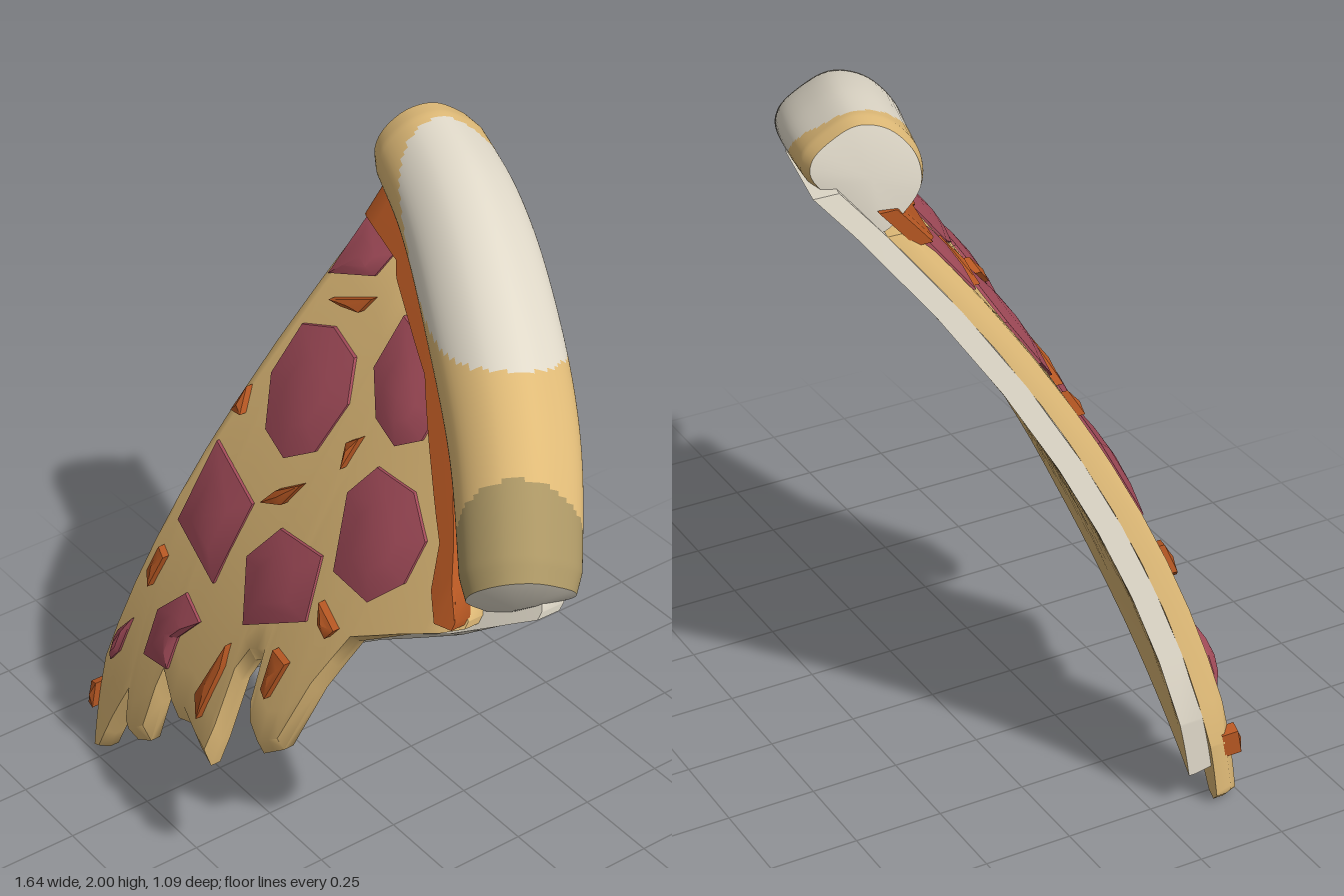
import * as THREE from 'three';
import { toCreasedNormals } from 'three/addons/utils/BufferGeometryUtils.js';

const mat = (name, color) => {
  const m = new THREE.MeshStandardMaterial({ color });
  m.name = name;
  return m;
};

// Height of the bent slice surface, and its normal
const bend = (x, y) => 0.65 - 0.115 * y - 0.225 * y * y + 0.2 * x - 0.15 * Math.max(0, x) ** 2;
const bendNormal = (x, y) =>
  new THREE.Vector3(0.3 * Math.max(0, x) - 0.2, 0.115 + 0.45 * y, 1).normalize();

// Piecewise linear lookup in [x, y] points
function along(points, x) {
  for (let i = 1; i < points.length; i++) {
    const [x0, y0] = points[i - 1], [x1, y1] = points[i];
    if (x <= x1) return y0 + (y1 - y0) * Math.max(0, (x - x0) / (x1 - x0));
  }
  return points[points.length - 1][1];
}

function buildGeometry(pos, faceSets) {
  const g = new THREE.BufferGeometry();
  g.setAttribute('position', new THREE.Float32BufferAttribute(pos, 3));
  g.setIndex(faceSets.flat());
  let start = 0;
  faceSets.forEach((f, i) => { g.addGroup(start, f.length, i); start += f.length; });
  return g;
}

// Bent slab between an upper and a lower outline; groups: front, back, rim
function slab(top, bottom, front, back, rimDrop, bottomDrop, crease) {
  const x0 = bottom[0][0], x1 = bottom[bottom.length - 1][0];
  const knots = [...top, ...bottom].map(p => p[0]).filter(x => x >= x0 && x <= x1).sort((a, b) => a - b);
  const xs = [knots[0]];
  for (const k of knots) {
    const last = xs[xs.length - 1], n = Math.ceil((k - last) / 0.06);
    for (let i = 1; i <= n; i++) xs.push(last + (k - last) * i / n);
  }
  const vs = [0, 0.04, 0.12, 0.25, 0.38, 0.5, 0.62, 0.75, 0.87, 0.95, 1];
  const pos = [], nv = vs.length, nx = xs.length, half = nx * nv;
  for (const layer of [0, 1]) {
    xs.forEach((x, i) => vs.forEach((v, j) => {
      const t = along(top, x), y = t + (along(bottom, x) - t) * v;
      const rim = i === 0 || i === nx - 1 || j === 0;
      const drop = j === nv - 1 ? bottomDrop : rim ? rimDrop : 0;
      pos.push(x, y, bend(x, y) + (layer ? back : front - drop));
    }));
  }
  const id = (i, j) => i * nv + j;
  const faces = [[], [], []], ring = [];
  for (let i = 0; i < nx - 1; i++) for (let j = 0; j < nv - 1; j++) {
    const a = id(i, j), b = id(i, j + 1), c = id(i + 1, j + 1), d = id(i + 1, j);
    faces[0].push(a, b, c, a, c, d);
    faces[1].push(a + half, c + half, b + half, a + half, d + half, c + half);
  }
  for (let j = 0; j < nv - 1; j++) ring.push(id(0, j));
  for (let i = 0; i < nx - 1; i++) ring.push(id(i, nv - 1));
  for (let j = nv - 1; j > 0; j--) ring.push(id(nx - 1, j));
  for (let i = nx - 1; i > 0; i--) ring.push(id(i, 0));
  ring.forEach((p, k) => {
    const q = ring[(k + 1) % ring.length];
    faces[2].push(p, p + half, q + half, p, q + half, q);
  });
  return toCreasedNormals(buildGeometry(pos, faces), crease);
}

// Thin domed topping lying on the bent surface, from a polygon outline
function topping(outline, height, edge) {
  const pts = outline.map(p => new THREE.Vector2(...p));
  if (THREE.ShapeUtils.isClockWise(pts)) pts.reverse();
  const c = pts.reduce((s, p) => s.add(p), new THREE.Vector2()).divideScalar(pts.length);
  const pos = [c.x, c.y, bend(c.x, c.y) + height], faces = [], n = pts.length;
  for (const [r, h] of [[0.5, height * 0.8], [1, edge], [1, -0.03]]) {
    for (const p of pts) {
      const q = c.clone().lerp(p, r);
      pos.push(q.x, q.y, bend(q.x, q.y) + h);
    }
  }
  for (let i = 0; i < n; i++) {
    const k = (i + 1) % n;
    faces.push(0, 1 + i, 1 + k);
    for (let r = 0; r < 2; r++) {
      const a = 1 + r * n + i, b = 1 + r * n + k;
      faces.push(a, a + n, b + n, a, b + n, b);
    }
  }
  return toCreasedNormals(buildGeometry(pos, [faces]), 0.5);
}

// Rounded crust swept along the rim, painted in patches, plus its two end caps
function crust() {
  const path = new THREE.CatmullRomCurve3(
    [[-0.42, 1.87, -0.4], [-0.13, 1.81, -0.3], [0.16, 1.7, -0.17], [0.47, 1.53, -0.01], [0.72, 1.3, 0.16]]
      .map(p => new THREE.Vector3(...p)));
  const section = new THREE.CatmullRomCurve3(
    [[0.15, 0], [0.125, 0.08], [0.055, 0.13], [-0.05, 0.13], [-0.12, 0.08], [-0.14, 0],
      [-0.13, -0.1], [0, -0.115], [0.12, -0.112], [0.15, -0.075]]
      .map(([o, n]) => new THREE.Vector3(o, n, 0)), true).getPoints(64).slice(0, 64);
  const nu = 120, ns = section.length, pos = [], faces = [[], [], []], caps = [];
  for (let i = 0; i <= nu; i++) {
    const u = i / nu, p = path.getPointAt(u), t = path.getTangentAt(u);
    const n = bendNormal(p.x, p.y);
    n.addScaledVector(t, -n.dot(t)).normalize();
    const o = n.clone().cross(t);
    const s = 0.95 + 0.13 * Math.sin(Math.PI * u) - 0.08 * Math.max(0, 1 - Math.min(u, 1 - u) / 0.04);
    const ring = section.map(q => p.clone().addScaledVector(o, q.x * s).addScaledVector(n, q.y * s));
    ring.forEach(q => pos.push(q.x, q.y, q.z));
    if (i === 0 || i === nu) {
      const mid = p.clone().addScaledVector(t, i ? 0.03 : -0.02);
      const cp = [mid, ...ring].flatMap(q => [q.x, q.y, q.z]), cf = [];
      for (let k = 0; k < ns; k++) {
        const a = 1 + k, b = 1 + (k + 1) % ns;
        cf.push(0, ...(i ? [a, b] : [b, a]));
      }
      caps.push(toCreasedNormals(buildGeometry(cp, [cf]), 0.6));
    }
  }
  const near = (u, a, cu, ca, ru, ra) => {
    const d = Math.atan2(Math.sin(a - ca), Math.cos(a - ca));
    return ((u - cu) / ru) ** 2 + (d / ra) ** 2 < 1;
  };
  for (let i = 0; i < nu; i++) for (let k = 0; k < ns; k++) {
    const l = (k + 1) % ns, u = (i + 0.5) / nu;
    const ang = Math.atan2(section[k].y + section[l].y, section[k].x + section[l].x);
    const set = near(u, ang, 0.35, 0.6, 0.29, 1.8) ? 1 : near(u, ang, 1, 0.9, 0.18, 1.9) ? 2 : 0;
    const a = i * ns + k, b = i * ns + l, c = a + ns, d = b + ns;
    faces[set].push(a, d, c, a, b, d);
  }
  const body = buildGeometry(pos, faces);
  body.computeVertexNormals();
  return { body, caps };
}

export function createModel() {
  const group = new THREE.Group();
  const dough = mat('golden dough', 0xdfba77);
  const crumb = mat('cream crumb', 0xe0d9c9);
  const baked = mat('browned dough', 0xab9664);
  const meat = mat('pepperoni red', 0xa24b59);
  const sauceMat = mat('tomato orange', 0xb45622);
  const add = (name, geometry, material) => {
    const m = new THREE.Mesh(geometry, material);
    m.name = name;
    group.add(m);
  };

  // Dough base, running up under the crust, with a bevelled cream cut side
  const baseTop = [[-0.82, 0.2], [-0.46, 1.72], [-0.43, 1.85], [-0.12, 1.83], [0.2, 1.72], [0.5, 1.55], [0.72, 1.36], [0.78, 1.28]];
  const baseCut = [[-0.8, 0.11], [-0.62, 0.26], [-0.455, 0.4], [-0.12, 0.65], [-0.02, 0.75], [0.3, 0.96], [0.55, 1.1], [0.78, 1.26]];
  add('doughBase', slab(baseTop, baseCut, -0.07, -0.14, 0, 0.05, 0.75), [crumb, dough, crumb]);

  // Melted cheese with drips
  const cheeseTop = [[-0.82, 0.2], [-0.46, 1.72], [-0.22, 1.7], [0.1, 1.6], [0.3, 1.5], [0.47, 1.37], [0.62, 1.2]];
  const drips = [[-0.82, 0.03], [-0.79, 0], [-0.76, 0.01], [-0.69, 0.15], [-0.62, 0.28], [-0.605, 0.18],
    [-0.58, 0.16], [-0.5, 0.21], [-0.475, 0.35], [-0.455, 0.42], [-0.37, 0.37], [-0.3, 0.4], [-0.22, 0.38],
    [-0.145, 0.37], [-0.125, 0.46], [-0.115, 0.64], [-0.08, 0.72], [-0.015, 0.76], [0.005, 0.62], [0.03, 0.58],
    [0.09, 0.56], [0.17, 0.62], [0.22, 0.81], [0.29, 0.98], [0.45, 1.08], [0.62, 1.18]];
  add('cheese', slab(cheeseTop, drips, 0, -0.07, 0.025, 0.04, 1.0), [dough, dough, dough]);

  // Crust
  const { body, caps } = crust();
  add('crust', body, [dough, crumb, baked]);
  caps.forEach((c, i) => add(i ? 'crustEndLeft' : 'crustEndRight', c, crumb));

  // Sauce band along the crust
  const sauceTop = [[-0.45, 1.79], [-0.24, 1.74], [0.1, 1.63], [0.3, 1.52], [0.5, 1.34], [0.62, 1.2]];
  const sauceLow = [[-0.465, 1.68], [-0.24, 1.665], [-0.2, 1.64], [0.1, 1.55], [0.3, 1.42], [0.45, 1.32],
    [0.5, 1.23], [0.56, 1.18], [0.615, 1.19]];
  add('sauce', slab(sauceTop, sauceLow, 0.028, -0.03, 0.01, 0.01, 0.75), [sauceMat, sauceMat, sauceMat]);

  // Pepperoni slices
  [
    [[-0.47, 1.41], [-0.34, 1.46], [-0.2, 1.45], [-0.13, 1.37], [-0.16, 1.24], [-0.27, 1.17], [-0.4, 1.18], [-0.49, 1.28]],
    [[0.04, 1.24], [0.1, 1.33], [0.27, 1.35], [0.39, 1.29], [0.39, 1.19], [0.3, 1.1], [0.13, 1.09]],
    [[-0.58, 1.06], [-0.31, 1.03], [-0.34, 0.8], [-0.61, 0.83]],
    [[-0.24, 0.93], [-0.15, 1.05], [0.06, 1.09], [0.11, 0.95], [-0.14, 0.8]],
    [[-0.11, 1.59], [-0.11, 1.47], [0, 1.4], [0.12, 1.39], [0.2, 1.44], [0.2, 1.5], [0.05, 1.58]],
    [[-0.46, 1.68], [-0.28, 1.66], [-0.3, 1.6], [-0.48, 1.53]],
    [[-0.57, 0.46], [-0.56, 0.6], [-0.45, 0.71], [-0.34, 0.69], [-0.42, 0.6], [-0.43, 0.5]],
    [[-0.75, 0.33], [-0.74, 0.43], [-0.68, 0.5], [-0.71, 0.38]],
  ].forEach(o => add('pepperoni', topping(o, 0.03, 0.008), meat));

  // Small pepper pieces
  [
    [[-0.41, 1.5], [-0.25, 1.57], [-0.27, 1.53], [-0.35, 1.51]],
    [[-0.05, 1.32], [-0.01, 1.35], [-0.02, 1.27]],
    [[-0.57, 1.15], [-0.55, 1.22], [-0.52, 1.16]],
    [[-0.27, 1.06], [-0.23, 1.11], [-0.14, 1.17], [-0.18, 1.1]],
    [[0.14, 1.02], [0.24, 1], [0.22, 0.97], [0.17, 0.98]],
    [[0.04, 0.84], [0.11, 0.84], [0.08, 0.73], [0.05, 0.74]],
    [[-0.66, 0.66], [-0.64, 0.74], [-0.6, 0.73], [-0.63, 0.63]],
    [[-0.24, 0.55], [-0.17, 0.73], [-0.16, 0.67], [-0.2, 0.5]],
    [[-0.82, 0.22], [-0.79, 0.23], [-0.79, 0.15], [-0.82, 0.15]],
  ].forEach(o => add('pepperPiece', topping(o, 0.03, 0.02), sauceMat));

  return group;
}
